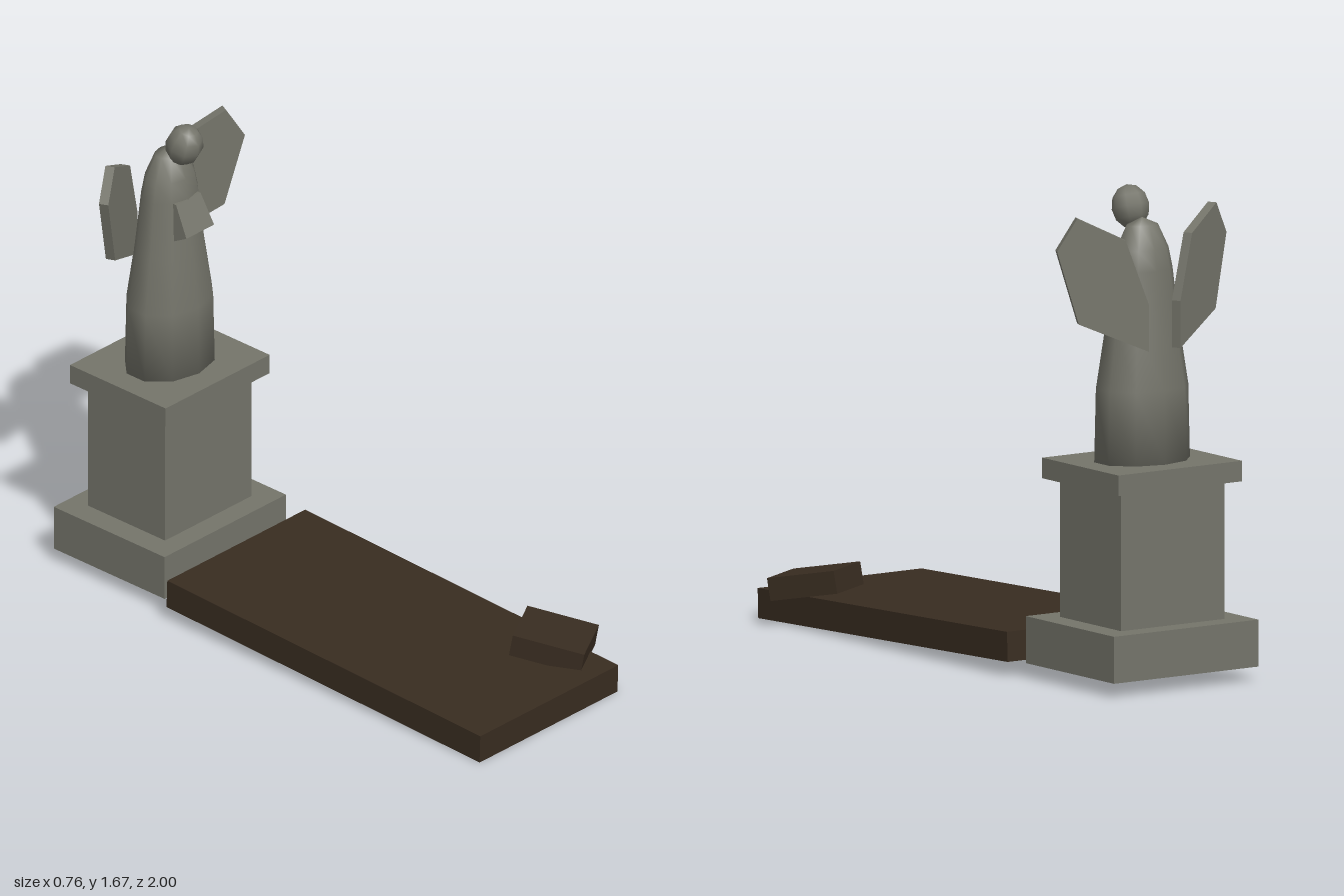
import * as THREE from 'three';

export function createModel() {
  const model = new THREE.Group();
  model.name = 'angelGrave';

  const stone = new THREE.MeshStandardMaterial({ color: 0x74746a });
  stone.name = 'weatheredStone';
  const earth = new THREE.MeshStandardMaterial({ color: 0x382c20 });
  earth.name = 'darkEarth';

  const add = (parent, name, geometry, material, x = 0, y = 0, z = 0) => {
    const mesh = new THREE.Mesh(geometry, material);
    mesh.name = name;
    mesh.position.set(x, y, z);
    parent.add(mesh);
    return mesh;
  };

  // Monument: everything is placed around its own vertical axis
  const monument = new THREE.Group();
  monument.name = 'monument';
  monument.position.set(-0.034, 0, -0.745);
  model.add(monument);

  // Pedestal: base, shaft and cap as [name, width, depth, bottom, top]
  for (const [name, w, d, y0, y1] of [
    ['pedestalBase', 0.595, 0.51, 0.05, 0.21],
    ['pedestalShaft', 0.425, 0.355, 0.21, 0.68],
    ['pedestalCap', 0.51, 0.44, 0.68, 0.75],
  ]) add(monument, name, new THREE.BoxGeometry(w, y1 - y0, d), stone, 0, (y0 + y1) / 2, 0);

  // Robe: ten-sided turned body, flattened front to back
  const robeProfile = [
    [0, 0.75], [0.176, 0.75], [0.17, 1.0], [0.137, 1.2], [0.112, 1.4],
    [0.097, 1.47], [0.058, 1.55], [0, 1.575],
  ].map(([r, y]) => new THREE.Vector2(r, y));
  add(monument, 'robe', new THREE.LatheGeometry(robeProfile, 10), stone).scale.z = 0.77;

  // Bowed head
  const head = add(monument, 'head', new THREE.SphereGeometry(0.065, 8, 6), stone, 0, 1.602, 0.067);
  head.scale.y = 1.16;
  head.rotation.x = 0.3;

  // Folded hands: a wedge extruded across x, slightly narrower at the top
  const wedge = new THREE.Shape();
  wedge.moveTo(0.085, 1.4);
  wedge.lineTo(0.03, 1.4);
  wedge.lineTo(0.03, 1.235);
  wedge.lineTo(0.14, 1.295);
  wedge.closePath();
  let hands = new THREE.ExtrudeGeometry(wedge, { depth: 0.136, bevelEnabled: false });
  hands.translate(0, 0, -0.068);
  hands.rotateY(-Math.PI / 2);
  const p = hands.attributes.position;
  for (let i = 0; i < p.count; i++) {
    if (p.getY(i) > 1.35) p.setX(i, p.getX(i) * 0.88);
  }
  hands.computeVertexNormals();
  add(monument, 'foldedHands', hands, stone);

  // Wings: mirrored plates swept forward at the tips
  const sweep = 0.436;
  const thickness = 0.033;
  for (const side of [1, -1]) {
    const outline = [
      [0.058, 1.14], [0.275, 1.24], [0.342, 1.49], [0.28, 1.6], [0.13, 1.52], [0.058, 1.3],
    ].map(([x, y]) => new THREE.Vector2(side * x / Math.cos(sweep), y));
    const geometry = new THREE.ExtrudeGeometry(new THREE.Shape(outline), {
      depth: thickness, bevelEnabled: false,
    });
    geometry.translate(0, 0, -thickness / 2);
    const wing = add(monument, side > 0 ? 'leftWing' : 'rightWing', geometry, stone, 0, 0, -0.143);
    wing.rotation.y = -side * sweep;
  }

  // Ground slab, raised slightly towards the monument
  const slab = add(model, 'groundSlab', new THREE.BoxGeometry(0.676, 0.102, 1.442), earth, -0.032, 0.0775, 0.2775);
  slab.rotation.x = 0.035;

  // Loose block resting askew on the slab
  const block = add(model, 'looseBlock', new THREE.BoxGeometry(0.213, 0.078, 0.25), earth, 0.225, 0.149, 0.78);
  block.rotation.set(0.17, 0.52, 0, 'YXZ');

  return model;
}
